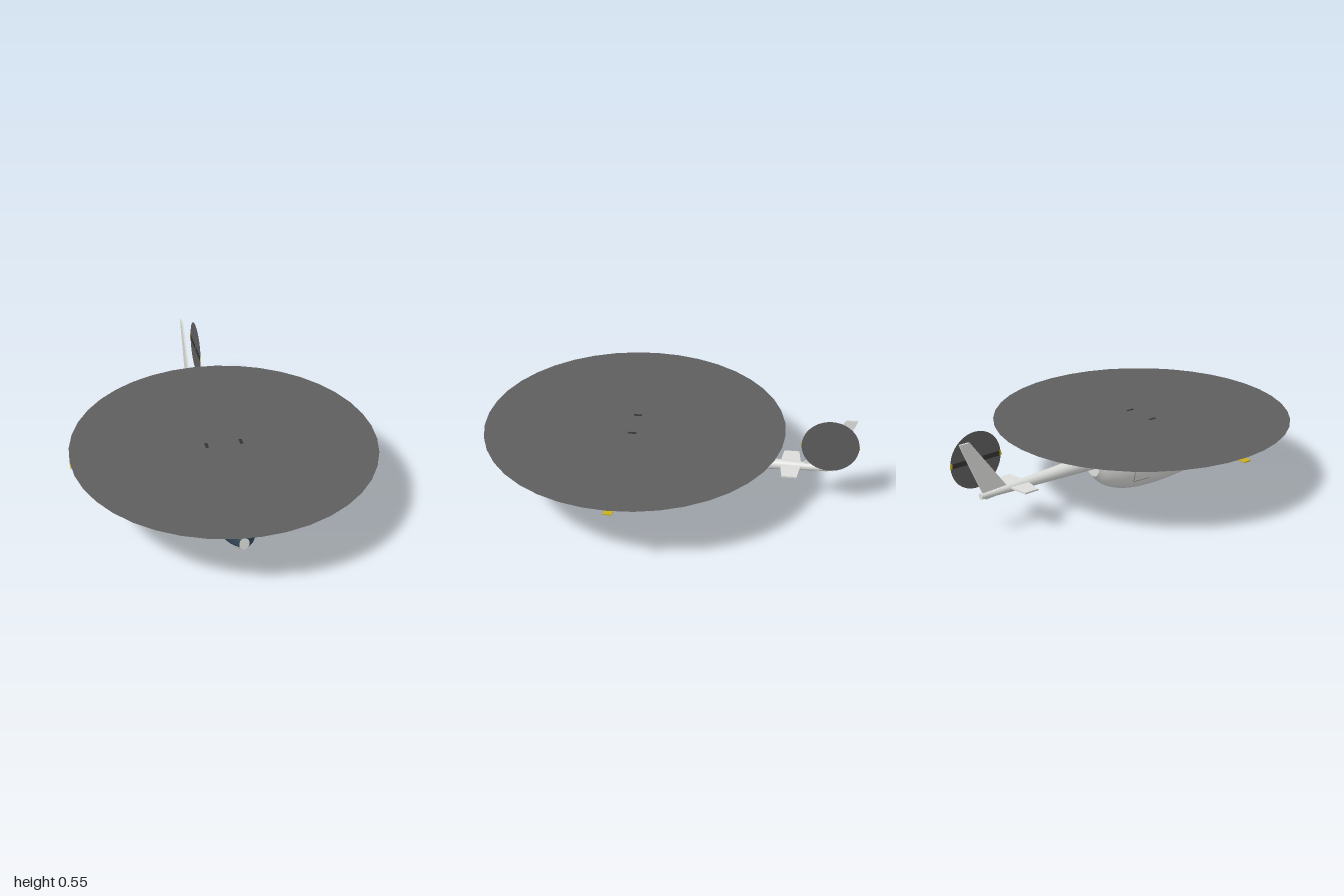
import * as THREE from 'three';

const mat = (name, color, side = THREE.FrontSide) => {
  const m = new THREE.MeshStandardMaterial({ color, side });
  m.name = name;
  return m;
};

export function createModel() {
  const body = mat('body white', 0xdcdedb);
  const glass = mat('dark blue glass', 0x34475a);
  const discMat = mat('rotor disc grey', 0x5e5e5e, THREE.DoubleSide);
  const bladeMat = mat('blade dark grey', 0x333333);
  const tipMat = mat('tip yellow', 0xc8b020);
  const seamMat = mat('seam grey', 0x8a8c8a);

  const group = new THREE.Group();
  const add = (name, geo, material, parent = group) => {
    const m = new THREE.Mesh(geo, material);
    m.name = name;
    parent.add(m);
    return m;
  };

  // Stations are [z, bottom, top, halfWidth], joined by a smooth spline
  const hull = (stations) => {
    const a = new THREE.CatmullRomCurve3(stations.map(s => new THREE.Vector3(s[0], s[1], s[2])), false, 'catmullrom', 0.5);
    const b = new THREE.CatmullRomCurve3(stations.map(s => new THREE.Vector3(s[0], s[3], 0)), false, 'catmullrom', 0.5);
    return (t) => {
      const p = a.getPoint(t), q = b.getPoint(t);
      return { z: p.x, cy: (p.y + p.z) / 2, h: (p.z - p.y) / 2, w: q.y };
    };
  };
  const N = 2.2; // roundness of the cross-sections
  const pw = (v, e) => Math.sign(v) * Math.abs(v) ** e;

  // Closed loft with flat ends; each ring is split at the sill height
  function loft(section, steps, sill, isGlass) {
    const up = 28, low = 20, n = up + low, pos = [], idx = [[], []], rings = [];
    for (let j = 0; j <= steps; j++) {
      const s = section(j / steps);
      rings.push(s);
      const v = THREE.MathUtils.clamp((sill(s.z) - s.cy) / s.h, -0.85, 0.85);
      const a0 = Math.asin(pw(v, N / 2));
      for (let i = 0; i < n; i++) {
        const a = i < up ? a0 + (Math.PI - 2 * a0) * i / up
          : Math.PI - a0 + (Math.PI + 2 * a0) * (i - up) / low;
        pos.push(s.w * pw(Math.cos(a), 2 / N), s.cy + s.h * pw(Math.sin(a), 2 / N), s.z);
      }
    }
    for (let j = 0; j < steps; j++) for (let i = 0; i < n; i++) {
      const k = (i + 1) % n, A = j * n + i, B = A + n, C = (j + 1) * n + k, D = j * n + k;
      const mid = (rings[j].z + rings[j + 1].z) / 2;
      idx[i < up && isGlass(mid) ? 1 : 0].push(A, B, C, A, C, D);
    }
    for (const j of [0, steps]) {
      const base = pos.length / 3;
      pos.push(...pos.slice(j * n * 3, (j + 1) * n * 3), 0, rings[j].cy, rings[j].z);
      for (let i = 0; i < n; i++) {
        const p = base + i, q = base + (i + 1) % n;
        idx[0].push(base + n, ...(j === 0 ? [p, q] : [q, p]));
      }
    }
    const g = new THREE.BufferGeometry();
    g.setAttribute('position', new THREE.Float32BufferAttribute(pos, 3));
    g.setIndex([...idx[0], ...idx[1]]);
    g.addGroup(0, idx[0].length, 0);
    g.addGroup(idx[0].length, idx[1].length, 1);
    g.computeVertexNormals();
    return g;
  }

  // Fuselage with wraparound windscreen
  const cabin = hull([
    [0.672, 0.083, 0.152, 0.026], [0.635, 0.062, 0.198, 0.062], [0.57, 0.038, 0.257, 0.092],
    [0.49, 0.017, 0.31, 0.115], [0.415, 0.007, 0.333, 0.127], [0.3, 0.003, 0.338, 0.135],
    [0.2, 0.005, 0.337, 0.135], [0.1, 0.013, 0.335, 0.13], [0, 0.035, 0.328, 0.115],
    [-0.09, 0.078, 0.315, 0.088], [-0.15, 0.14, 0.3, 0.058]]);
  const sill = z => 0.08 + 0.018 * THREE.MathUtils.smoothstep(z, 0.54, 0.672);
  add('fuselage', loft(cabin, 50, sill, z => z > 0.415), [body, glass]);

  // Engine cowling on the roof
  const cowl = hull([
    [0.34, 0.318, 0.337, 0.02], [0.28, 0.31, 0.348, 0.055], [0.19, 0.302, 0.361, 0.078],
    [0.08, 0.295, 0.365, 0.085], [-0.03, 0.291, 0.36, 0.08], [-0.12, 0.289, 0.346, 0.06],
    [-0.165, 0.29, 0.332, 0.045], [-0.18, 0.296, 0.322, 0.035]]);
  add('engineCowling', loft(cowl, 28, () => 0.3, () => false), [body, body]);

  // Thin plates that follow the fuselage side
  const sectionAt = (z) => {
    let a = 0, b = 1;
    for (let i = 0; i < 30; i++) {
      const m = (a + b) / 2;
      if (cabin(m).z > z) a = m; else b = m;
    }
    return cabin(a);
  };
  function sidePlate(name, z0, z1, y0, y1, material, side) {
    const g = new THREE.PlaneGeometry(1, 1, 8, 8), p = g.attributes.position;
    for (let i = 0; i < p.count; i++) {
      const z = THREE.MathUtils.lerp(z0, z1, 0.5 - side * p.getX(i));
      const y = THREE.MathUtils.lerp(y0, y1, p.getY(i) + 0.5);
      const s = sectionAt(z), v = Math.min(1, Math.abs((y - s.cy) / s.h));
      p.setXYZ(i, side * (s.w * (1 - v ** N) ** (1 / N) + 0.003), y, z);
    }
    g.computeVertexNormals();
    add(name, g, material);
  }
  for (const side of [1, -1]) {
    sidePlate('sideWindow', 0.23, 0.36, 0.147, 0.275, glass, side);
    sidePlate('doorSeamRear', 0.042, 0.046, 0.088, 0.225, seamMat, side);
    sidePlate('doorSeamBottom', 0.046, 0.15, 0.086, 0.09, seamMat, side);
    sidePlate('doorLatch', 0.04, 0.054, 0.238, 0.25, seamMat, side);
  }

  // Tapered tail boom
  const boom = add('tailBoom', new THREE.CylinderGeometry(0.047, 0.016, 0.77, 28), body);
  boom.rotation.x = Math.PI / 2;
  boom.position.set(0, 0.227, -0.485);

  // Flat plate cut from an outline and centred on its thickness
  const plate = (pts, depth) => new THREE.ExtrudeGeometry(
    new THREE.Shape(pts.map(p => new THREE.Vector2(...p))), { depth, bevelEnabled: false }).translate(0, 0, -depth / 2);

  // Swept fin: outline in (z, y)
  const fin = plate([[-0.84, 0.203], [-0.69, 0.215], [-0.922, 0.53], [-0.98, 0.53], [-0.965, 0.49]], 0.01);
  add('tailFin', fin.rotateY(-Math.PI / 2), body);

  // Horizontal stabiliser: outline in (x, -z)
  const stab = plate([[-0.125, 0.605], [0, 0.588], [0.125, 0.605], [0.125, 0.685], [0, 0.702], [-0.125, 0.685]], 0.009);
  add('stabiliser', stab.rotateX(-Math.PI / 2), body).position.y = 0.232;

  // A blade running along +x with a coloured tip
  function blade(name, root, tip, tipLen, chord, thick) {
    const g = new THREE.Group();
    g.name = name;
    add('bladeSpan', new THREE.BoxGeometry(tip - tipLen - root, thick, chord), bladeMat, g)
      .position.x = (root + tip - tipLen) / 2;
    add('bladeTip', new THREE.BoxGeometry(tipLen, thick, chord), tipMat, g).position.x = tip - tipLen / 2;
    return g;
  }

  // Main rotor: spinning disc and two drooping blades
  const main = new THREE.Group();
  main.name = 'mainRotor';
  main.position.set(0, 0.41, 0.193);
  group.add(main);
  add('mainRotorDisc', new THREE.CircleGeometry(0.803, 40).rotateX(-Math.PI / 2), discMat, main);
  for (const turn of [0, Math.PI]) {
    const arm = new THREE.Group();
    arm.name = 'mainBladeArm';
    arm.rotation.y = turn;
    const b = blade('mainBlade', 0.083, 0.802, 0.05, 0.045, 0.006);
    b.rotation.z = -0.03;
    arm.add(b);
    main.add(arm);
  }

  // Tail rotor on the left side
  const tail = new THREE.Group();
  tail.name = 'tailRotor';
  tail.position.set(0.061, 0.4, -0.848);
  group.add(tail);
  add('tailRotorDisc', new THREE.CircleGeometry(0.15, 40).rotateY(Math.PI / 2), discMat, tail);
  for (const s of [1, -1]) {
    const b = blade('tailBlade', 0.02, 0.152, 0.012, 0.026, 0.003);
    b.rotation.set(Math.PI / 2, 0, s * Math.PI / 2, 'YXZ');
    b.position.x = -0.0017;
    tail.add(b);
  }
  return group;
}
